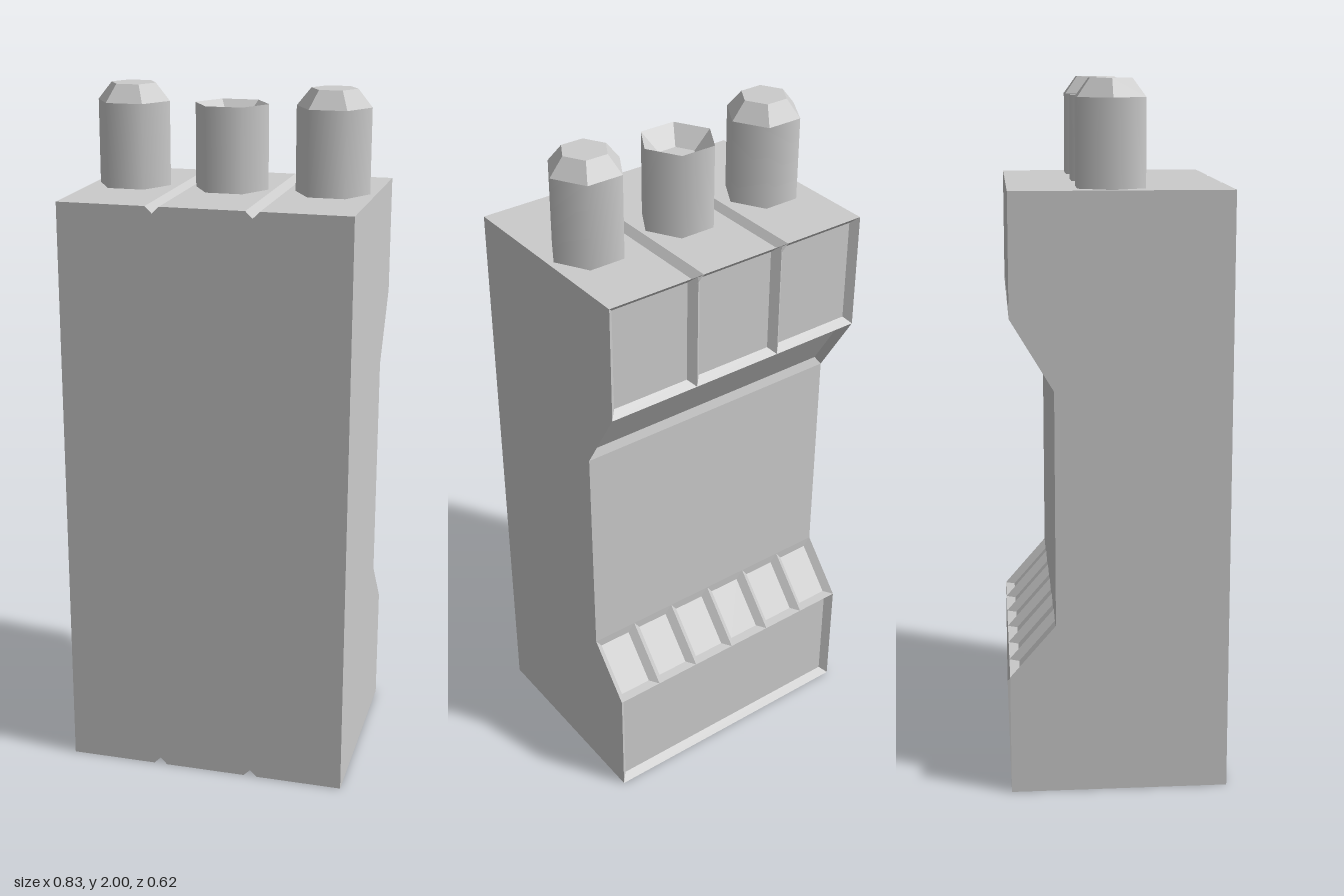
import * as THREE from 'three';

const W = 0.415, FRONT = 0.31, TOP = 1.71, RIM = 0.02, GROOVES = [-0.14, 0.14];

// Collects flat quads (corners counter-clockwise) into one geometry
function quadGeometry(quads) {
  const pos = [];
  for (const [a, b, c, d] of quads)
    for (const p of [a, b, c, a, c, d]) pos.push(p.x, p.y, p.z);
  const g = new THREE.BufferGeometry();
  g.setAttribute('position', new THREE.Float32BufferAttribute(pos, 3));
  g.computeVertexNormals();
  return g;
}

const V = (x, y, z) => new THREE.Vector3(x, y, z);

// Back-facing rectangle between two [z, y] profile points
const backQuad = (x0, x1, [z0, y0], [z1, y1]) =>
  [V(x1, y0, z0), V(x0, y0, z0), V(x0, y1, z1), V(x1, y1, z1)];

// Rectangle sunk inside a bevelled rim
function recessed(q) {
  const u = q[1].clone().sub(q[0]).normalize();
  const v = q[3].clone().sub(q[0]).normalize();
  const n = u.clone().cross(v);
  const inner = q.map((p, i) => p.clone()
    .addScaledVector(u, i === 0 || i === 3 ? RIM : -RIM)
    .addScaledVector(v, i < 2 ? RIM : -RIM)
    .addScaledVector(n, -RIM));
  const rim = q.map((p, i) => {
    const j = (i + 1) % 4;
    return [p, q[j], inner[j], inner[i]];
  });
  return [...rim, inner];
}

// Row of equal recessed panels across the width
function panelRow(count, low, high) {
  const quads = [], step = 2 * W / count;
  for (let i = 0; i < count; i++)
    quads.push(...recessed(backQuad(-W + i * step, -W + (i + 1) * step, low, high)));
  return quads;
}

// Edge across the width with V notches: [x, y, groove centre or own x]
function notchedEdge(y, depth) {
  const pts = [[-W, y, -W]];
  for (const c of GROOVES)
    pts.push([c - 0.02, y, c], [c, y + depth, c], [c + 0.02, y, c]);
  pts.push([W, y, W]);
  return pts;
}

export function createModel() {
  const group = new THREE.Group();
  const mat = new THREE.MeshStandardMaterial({ color: 0xcccccc });
  const flat = new THREE.MeshStandardMaterial({ color: 0xcccccc, flatShading: true });
  const add = (name, geo, m = flat, parent = group) => {
    const mesh = new THREE.Mesh(geo, m);
    mesh.name = name;
    parent.add(mesh);
    return mesh;
  };

  // Side walls from the [z, y] profile with its hand grip hollow
  const back = [[-0.31, 0], [-0.31, 0.35], [-0.18, 0.5], [-0.18, 1.17], [-0.3, 1.37], [-0.3, TOP]];
  const profile = [[FRONT, 0], ...back, [FRONT, TOP]];
  for (const s of [-1, 1]) {
    const shape = new THREE.Shape(profile.map(([z, y]) => new THREE.Vector2(-s * z, y)));
    const geo = new THREE.ShapeGeometry(shape).rotateY(s * Math.PI / 2).translate(s * W, 0, 0);
    add(s > 0 ? 'leftSide' : 'rightSide', geo);
  }

  // Front wall, notched where the grooves come through
  const topEdge = notchedEdge(TOP, -0.02), bottomEdge = notchedEdge(0, 0.02);
  const frontShape = new THREE.Shape(
    [...bottomEdge, ...topEdge.slice().reverse()].map(([x, y]) => new THREE.Vector2(x, y)));
  add('frontWall', new THREE.ShapeGeometry(frontShape).translate(0, 0, FRONT));

  // Top with straight grooves, bottom with grooves fading out towards the back
  const topQuads = [], bottomQuads = [], fade = -0.27;
  for (let i = 0; i + 1 < topEdge.length; i++) {
    const [x0, y0] = topEdge[i], [x1, y1] = topEdge[i + 1];
    topQuads.push([V(x0, y0, FRONT), V(x1, y1, FRONT), V(x1, y1, -0.3), V(x0, y0, -0.3)]);
    const [bx0, by0, e0] = bottomEdge[i], [bx1, by1, e1] = bottomEdge[i + 1];
    bottomQuads.push([V(e0, 0, fade), V(e1, 0, fade), V(bx1, by1, FRONT), V(bx0, by0, FRONT)]);
  }
  bottomQuads.push([V(-W, 0, -0.31), V(W, 0, -0.31), V(W, 0, fade), V(-W, 0, fade)]);
  add('groovedTop', quadGeometry(topQuads));
  add('groovedBottom', quadGeometry(bottomQuads));

  // Back panels from bottom to top
  add('lowerBackPanel', quadGeometry(panelRow(1, back[0], back[1])));
  add('ribbedSlope', quadGeometry(panelRow(6, back[1], back[2])));
  add('gripWall', quadGeometry([backQuad(-W, W, back[2], back[3])]));
  add('upperSlope', quadGeometry(panelRow(1, back[3], back[4])));
  add('upperBackPanels', quadGeometry(panelRow(3, back[4], back[5])));

  // Hexagonal pins: outer two chamfered, middle one hollowed
  const solidTip = [[0.107, 1.95], [0.066, 2], [0, 2]];
  const hollowTip = [[0.107, 1.95], [0.056, 1.9], [0, 1.9]];
  const pins = [['rightPin', -0.292, solidTip], ['middlePin', -0.002, hollowTip], ['leftPin', 0.291, solidTip]];
  for (const [name, x, tip] of pins) {
    const pin = new THREE.Group();
    pin.name = name;
    pin.position.set(x, 0, -0.018);
    const shaft = new THREE.CylinderGeometry(0.107, 0.107, 0.24, 6, 1, true, Math.PI / 2);
    add('shaft', shaft.translate(0, 1.83, 0), mat, pin);
    const points = tip.map(([r, y]) => new THREE.Vector2(r, y));
    add('tip', new THREE.LatheGeometry(points, 6, Math.PI / 2), flat, pin);
    group.add(pin);
  }
  return group;
}
